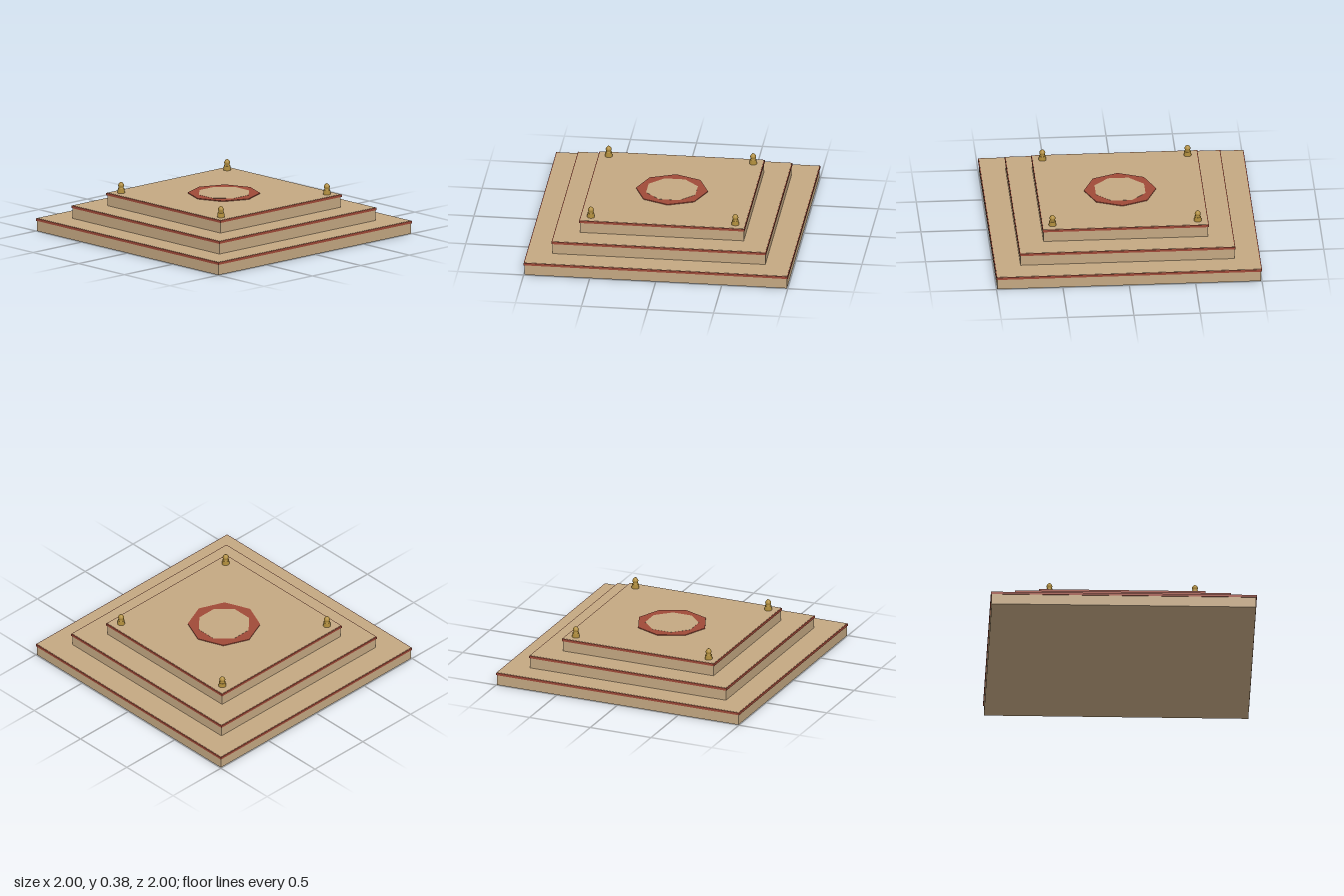
import * as THREE from 'three';

const mat = (color, flatShading = false) => new THREE.MeshStandardMaterial({ color, flatShading });

export function createModel() {
  const group = new THREE.Group();
  const stone = mat(0xc4a882), red = mat(0xa04a38), gold = mat(0xb08d3c);

  const add = (name, geometry, material, x, y, z, parent = group) => {
    const mesh = new THREE.Mesh(geometry, material);
    mesh.name = name;
    mesh.position.set(x, y, z);
    parent.add(mesh);
    return mesh;
  };

  // Three stepped square tiers, each with a red band just under its top edge
  [0.994, 0.806, 0.62].forEach((half, i) => {
    const tier = new THREE.Group();
    tier.name = `tier${i + 1}`;
    tier.position.y = i * 0.1;
    group.add(tier);
    add('tierBlock', new THREE.BoxGeometry(half * 2, 0.1, half * 2), stone, 0, 0.05, 0, tier);
    const outer = half + 0.006, thick = 0.012;
    for (const s of [-1, 1]) {
      const c = s * (outer - thick / 2);
      add('trimBand', new THREE.BoxGeometry(outer * 2, 0.018, thick), red, 0, 0.089, c, tier);
      add('trimBand', new THREE.BoxGeometry(thick, 0.018, outer * 2 - thick * 2), red, c, 0.089, 0, tier);
    }
  });

  // Octagonal red medallion with a stone centre turned by half a side
  add('medallion', new THREE.CylinderGeometry(0.272, 0.272, 0.006, 8), red, 0, 0.303, 0).material = mat(0xa04a38, true);
  add('medallionCentre', new THREE.CylinderGeometry(0.202, 0.202, 0.007, 8), mat(0xc4a882, true), 0, 0.3035, 0)
    .rotation.y = Math.PI / 8;

  // Corner finials: drum base, narrow neck and pointed bulb
  const base = new THREE.CylinderGeometry(0.025, 0.029, 0.034, 12);
  const bulb = new THREE.LatheGeometry([
    [0.025, 0.032], [0.018, 0.037], [0.019, 0.046], [0.023, 0.056],
    [0.021, 0.066], [0.013, 0.077], [0.005, 0.083], [0, 0.085],
  ].map(([r, y]) => new THREE.Vector2(r, y)), 12);
  for (const x of [-0.547, 0.547]) for (const z of [-0.547, 0.547]) {
    const finial = new THREE.Group();
    finial.name = 'cornerFinial';
    finial.position.set(x, 0.3, z);
    group.add(finial);
    add('finialBase', base, gold, 0, 0.017, 0, finial);
    add('finialBulb', bulb, gold, 0, 0, 0, finial);
  }
  return group;
}
